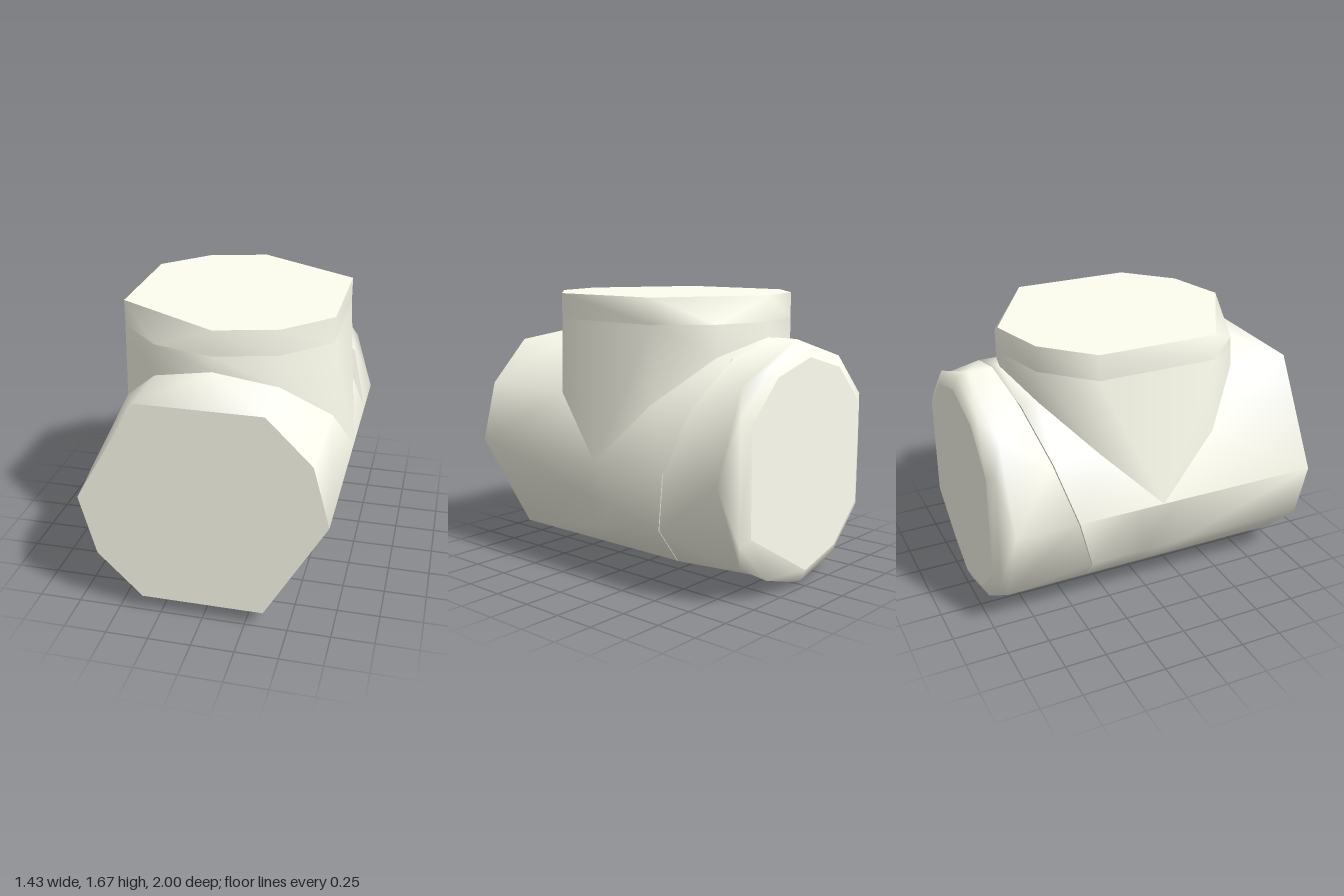
import * as THREE from 'three';
import { mergeVertices } from 'three/addons/utils/BufferGeometryUtils.js';

const SLOTS = 24, R = 0.715, CY = 0.718;
const ALL = [0, 30, 60, 90, 120, 150, 180, 210, 240, 270, 300, 330];
const OCTAGON = [0, 45, 90, 135, 180, 225, 270, 315];
const without = (...gone) => ALL.filter((a) => !gone.includes(a));

// Ring of 24 slots: each slot takes the nearest corner among the listed angles
function ring(angles, place) {
  const points = [];
  for (let i = 0; i < SLOTS; i++) {
    const deg = (i * 360) / SLOTS;
    let from = angles.filter((a) => a <= deg).pop();
    let to = angles.find((a) => a > deg);
    if (from === undefined) from = angles[angles.length - 1] - 360;
    if (to === undefined) to = angles[0] + 360;
    const t = THREE.MathUtils.degToRad(deg - from <= to - deg ? from : to);
    points.push(place(Math.cos(t), Math.sin(t)));
  }
  return points;
}

// Horizontal pipe ring; z is a function of height
const runRing = (angles, r, zAt) =>
  ring(angles, (c, s) => new THREE.Vector3(r * c, CY + r * s, zAt(CY + r * s)));
// Upright pipe ring; y is a function of depth
const branchRing = (angles, r, yAt, z = 0) =>
  ring(angles, (c, s) => new THREE.Vector3(r * c, yAt(r * s), z - r * s));

function build(positions, index) {
  const g = new THREE.BufferGeometry();
  g.setAttribute('position', new THREE.Float32BufferAttribute(positions.flatMap((p) => p.toArray()), 3));
  g.setIndex(index);
  const merged = mergeVertices(g, 1e-5);
  merged.computeVertexNormals();
  return merged;
}

// Smooth wall through the rings, with optional flat ends
function loft(name, rings, { start = true, end = true } = {}) {
  const group = new THREE.Group();
  group.name = name;
  const material = new THREE.MeshStandardMaterial({ color: 0xfffff0 });
  const add = (label, geometry) => {
    const mesh = new THREE.Mesh(geometry, material);
    mesh.name = label;
    group.add(mesh);
  };
  const index = [];
  for (let i = 0; i < rings.length - 1; i++) {
    for (let j = 0; j < SLOTS; j++) {
      const k = (j + 1) % SLOTS;
      const a = i * SLOTS + j, b = i * SLOTS + k;
      const c = a + SLOTS, d = b + SLOTS;
      index.push(a, c, d, a, d, b);
    }
  }
  add(name + 'Wall', build(rings.flat(), index));

  const cap = (label, points, flip) => {
    const centre = points.reduce((sum, p) => sum.add(p), new THREE.Vector3()).divideScalar(SLOTS);
    const fan = [];
    for (let j = 0; j < SLOTS; j++) {
      const k = (j + 1) % SLOTS;
      fan.push(SLOTS, flip ? k : j, flip ? j : k);
    }
    add(label, build([...points, centre], fan));
  };
  if (start) cap(name + 'StartFace', rings[0], false);
  if (end) cap(name + 'EndFace', rings[rings.length - 1], true);
  return group;
}

export function createModel() {
  const model = new THREE.Group();
  model.name = 'pipeTee';

  // Slanted joint between the run and the rear cap
  const joint = (y) => -0.53 - 0.315 * (y - CY);

  // Horizontal run, mitred where the branch meets it
  const front = runRing(without(90, 150, 270, 330), R, () => 1);
  const back = runRing(without(30, 90, 270), R, (y) => joint(y) + 0.003);
  const mitre = (sign, t) =>
    runRing(ALL, R, (y) => sign * Math.abs(y - CY)).map((p, i) =>
      i <= SLOTS / 2 ? p : front[i].clone().lerp(back[i], t));
  model.add(loft('run', [front, mitre(1, 0.6), mitre(-1, 0.75), back]));

  // Rear cap with a rounded rim
  model.add(loft('rearCap', [
    runRing(without(270), R, (y) => joint(y) - 0.003),
    runRing(OCTAGON, R, () => -0.905),
    runRing(without(0, 180), 0.69, () => -0.97),
    runRing(without(0, 180, 300), 0.62, () => -1),
  ]));

  // Upright branch down to the mitre, and its collar
  const rim = branchRing(without(0, 180), 0.71, () => 1.52, -0.005);
  model.add(loft('branch', [
    rim,
    branchRing(ALL, R, (d) => CY + Math.abs(d)),
  ], { start: false, end: false }));
  model.add(loft('collar', [
    branchRing(without(0, 60, 180, 240), 0.71, () => 1.67, -0.005),
    rim,
  ], { end: false }));

  return model;
}
